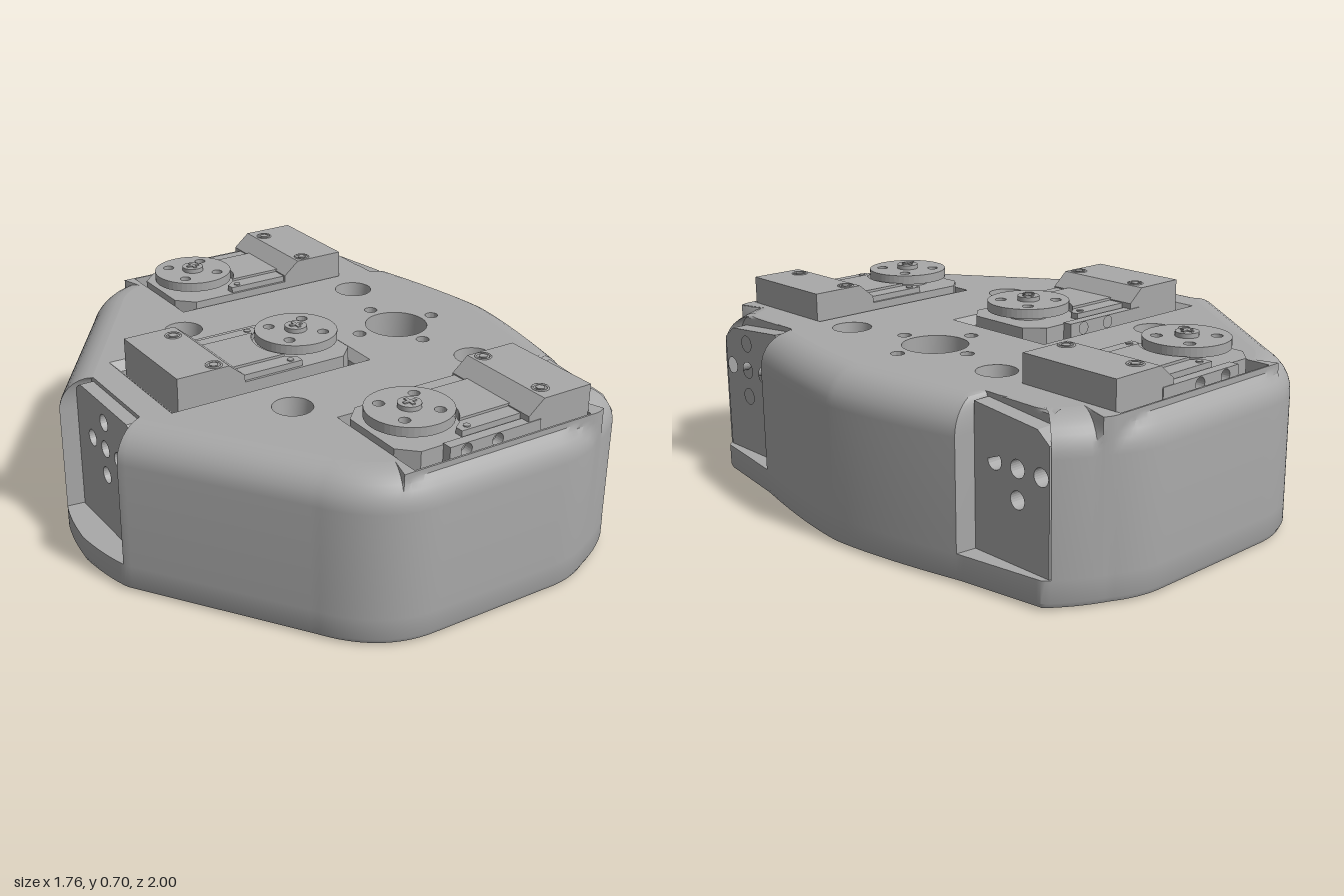
import * as THREE from 'three';
import { toCreasedNormals } from 'three/addons/utils/BufferGeometryUtils.js';

const V2 = (x, y) => new THREE.Vector2(x, y);

// Plan coordinates are (x, v) with v = -z; loops are [x, y, z] rings, counter-clockwise from above
function loft(loops, crease = 0.6) {
  const pos = [], index = [], n = loops[0].length;
  loops.forEach(l => l.forEach(p => pos.push(...p)));
  for (let k = 0; k < loops.length - 1; k++) {
    for (let i = 0; i < n; i++) {
      const j = (i + 1) % n, a = k * n + i, b = k * n + j;
      index.push(a, b, b + n, a, b + n, a + n);
    }
  }
  const g = new THREE.BufferGeometry();
  g.setAttribute('position', new THREE.Float32BufferAttribute(pos, 3));
  g.setIndex(index);
  return toCreasedNormals(g, crease);
}

const level = (pts, y) => pts.map(p => [p.x, y, -p.y]);

// Clockwise rings, for holes
function circle(x, z, r, n = 32) {
  return Array.from({ length: n }, (_, i) => {
    const a = -i / n * Math.PI * 2;
    return V2(x + r * Math.cos(a), -z + r * Math.sin(a));
  });
}
function rect([x0, x1, z0, z1], e = 0) {
  return [V2(x0 - e, -z0 + e), V2(x1 + e, -z0 + e), V2(x1 + e, -z1 - e), V2(x0 - e, -z1 - e)];
}

function withHoles(pts, holes) {
  const s = new THREE.Shape(pts);
  holes.forEach(h => s.holes.push(new THREE.Path(h)));
  return s;
}

function cap(pts, holes, y, down = false) {
  const g = new THREE.ShapeGeometry(withHoles(pts, holes)).rotateX(-Math.PI / 2).translate(0, y, 0);
  if (down) {
    g.index.array.reverse();
    g.computeVertexNormals();
  }
  return g;
}

const slab = (shape, y0, y1) => new THREE.ExtrudeGeometry(shape, { depth: y1 - y0, bevelEnabled: false, curveSegments: 24 })
  .rotateX(-Math.PI / 2).translate(0, y0, 0);

// Plan outline of the housing, mirrored across z
function makeOutline() {
  const p = new THREE.Path();
  p.moveTo(0.88, 0);
  p.quadraticCurveTo(0.87, 0.2, 0.79, 0.524);
  p.lineTo(0.74, 0.84);
  p.quadraticCurveTo(0.66, 0.91, 0.56, 0.95);
  p.quadraticCurveTo(0.47, 1, 0.376, 1);
  p.lineTo(-0.12, 1);
  p.quadraticCurveTo(-0.33, 1, -0.45, 0.8);
  p.lineTo(-0.84, 0.235);
  p.quadraticCurveTo(-0.875, 0.14, -0.885, 0);
  const half = p.getSpacedPoints(200);
  return [...half, ...half.slice(1, -1).reverse().map(q => V2(q.x, -q.y))];
}

export function createModel() {
  const model = new THREE.Group();
  const grey = new THREE.MeshStandardMaterial({ color: 0xa8a8a8 });
  grey.name = 'grey';
  const add = (parent, name, geometry) => {
    const m = new THREE.Mesh(geometry, grey);
    m.name = name;
    parent.add(m);
    return m;
  };

  const housing = new THREE.Group();
  housing.name = 'housing';
  model.add(housing);

  // Outer wall: inset rings, with mounting recesses and pocket rims made by clamping
  const outline = makeOutline(), N = outline.length;
  const ring = (inset, recessed) => outline.map((p, i) => {
    const t = outline[(i + 1) % N].clone().sub(outline[(i + N - 1) % N]).normalize();
    const q = V2(p.x - t.y * inset, p.y + t.x * inset), v = Math.abs(p.y);
    if (recessed) {
      if (p.x > 0.6 && v > 0.53 && v < 0.85) q.x = Math.min(q.x, 0.66);
      if (p.x < -0.7 && v < 0.215) q.x = Math.max(q.x, -0.73);
      if (v > 0.9 && p.x > -0.24 && p.x < 0.6 && Math.abs(q.y) < 0.952) {
        q.set(p.x, Math.sign(p.y) * Math.min(v, 0.952));
      }
    }
    return q;
  });
  const loops = [level(ring(0.025), 0), level(ring(0.008), 0.008), level(ring(0), 0.025), level(ring(0), 0.1)];
  loops.push(level(ring(0, true), 0.1));
  for (let k = 0; k <= 8; k++) {
    const a = k / 8 * Math.PI / 2;
    loops.push(level(ring(0.12 * (1 - Math.cos(a)), true), 0.48 + 0.12 * Math.sin(a)));
  }
  add(housing, 'outerWall', loft(loops));

  // Openings through the housing
  const top = [], bottom = [];
  const pockets = [[-0.19, 0.525, -0.945, -0.53, 0], [-0.6, 0.13, -0.23, 0.18, 0.03], [-0.19, 0.525, 0.525, 0.945, 0]];
  for (const p of pockets) {
    const inner = rect(p), outer = rect(p, p[4]);
    add(housing, 'pocketWall', loft([level(inner, 0), level(inner, 0.57), level(outer, 0.6)], 0.1));
    top.push(outer);
    bottom.push(inner);
  }
  for (const x of [-0.27, 0.49]) for (const z of [-0.38, 0.38]) {
    const hole = [[0.03, 0], [0.03, 0.5], [0.06, 0.5], [0.07, 0.6]];
    add(housing, 'screwHole', loft(hole.map(([r, y]) => level(circle(x, z, r), y))));
    top.push(circle(x, z, 0.07));
    bottom.push(circle(x, z, 0.03));
  }
  const cx = 0.425, bore = circle(cx, 0, 0.195, 48);
  add(housing, 'centreBore', loft([level(bore, 0), level(bore, 0.5)]));
  bottom.push(bore);
  const small = [circle(cx, 0, 0.115, 48)];
  for (const [dx, dz] of [[1, 0], [-1, 0], [0, 1], [0, -1]]) small.push(circle(cx + dx * 0.165, dz * 0.165, 0.024));
  small.forEach(c => {
    add(housing, 'cableHole', loft([level(c, 0.5), level(c, 0.6)]));
    top.push(c);
  });
  add(housing, 'boreCeiling', cap(bore, small, 0.5, true));
  add(housing, 'topFace', cap(ring(0.12, true), top, 0.6));
  add(housing, 'bottomFace', cap(ring(0.025), bottom, 0, true));

  // Mounting pads with five screw holes, drawn in (sideways, up)
  function pad(points, centre, side, x) {
    const holes = [[0, 0], [0.1, 0], [-0.1, 0], [0, 0.1], [0, -0.1]]
      .map(([u, y]) => circle(centre + u, -0.415 - y, 0.03, 24));
    const g = new THREE.ExtrudeGeometry(withHoles(points, holes), { depth: 0.065, bevelEnabled: false });
    add(housing, 'mountingPad', g.translate(0, 0, x - 0.065).rotateY(side * Math.PI / 2));
  }
  for (const s of [-1, 1]) {
    pad([V2(0.525, 0.1), V2(0.85, 0.1), V2(0.85, 0.52), V2(0.8, 0.56), V2(0.525, 0.585)].map(p => V2(p.x * s, p.y)),
      0.715 * s, 1, 0.72);
  }
  pad([V2(-0.215, 0.1), V2(0.215, 0.1), V2(0.215, 0.56), V2(0.18, 0.585), V2(-0.18, 0.585), V2(-0.215, 0.56)], 0, -1, 0.78);

  // Servo with its horn axis at (x, z); sx points to the tall end, sz to the side plate
  function servo(x, z, sx, sz) {
    const g = new THREE.Group();
    g.name = 'servo';
    g.position.set(x, 0, z);
    model.add(g);
    const box = (name, x0, x1, y0, y1, z0, z1) => add(g, name, new THREE.BoxGeometry(x1 - x0, y1 - y0, z1 - z0))
      .position.set(sx * (x0 + x1) / 2, (y0 + y1) / 2, sz * (z0 + z1) / 2);
    const disc = (name, px, pz, r, y0, y1) => add(g, name, new THREE.CylinderGeometry(r, r, y1 - y0, 28))
      .position.set(sx * px, (y0 + y1) / 2, sz * pz);
    const side = (name, points, z0, z1, holes = []) => add(g, name,
      new THREE.ExtrudeGeometry(withHoles(points.map(([a, b]) => V2(sx * a, b)), holes), { depth: z1 - z0, bevelEnabled: false }))
      .position.z = sz > 0 ? z0 : -z1;

    // Case with clipped corners at the horn end
    const plan = [[-0.145, -0.12], [-0.085, -0.18], [0.57, -0.18], [0.57, 0.18], [-0.085, 0.18], [-0.145, 0.12]];
    add(g, 'case', slab(new THREE.Shape(plan.map(([a, b]) => V2(sx * a, b))), 0.24, 0.625));
    // Raised deck, cut round the horn
    const deck = w => {
      const a = Math.asin(Math.min(w / 0.16, 0.87)), pts = [V2(sx * 0.36, -w), V2(sx * 0.36, w)];
      if (w > 0.14) pts.push(V2(sx * 0.08, w));
      for (let i = 0; i <= 12; i++) {
        const t = a - 2 * a * i / 12;
        pts.push(V2(sx * 0.16 * Math.cos(t), 0.16 * Math.sin(t)));
      }
      if (w > 0.14) pts.push(V2(sx * 0.08, -w));
      return new THREE.Shape(pts);
    };
    add(g, 'deck', slab(deck(0.17), 0.62, 0.646));
    add(g, 'deckPanel', slab(deck(0.11), 0.64, 0.655));
    side('tallEnd', [[0.315, 0.5], [0.572, 0.5], [0.572, 0.7], [0.375, 0.7], [0.315, 0.65]], -0.18, 0.212);
    side('sidePlate', [[0, 0.24], [0.365, 0.24], [0.365, 0.63], [0, 0.63]], 0.178, 0.215,
      [0.065, 0.19].map(a => circle(sx * a, -0.605, 0.022, 20)));

    // Horns above and below, each with four holes
    const holes = [];
    for (const a of [-1, 1]) for (const b of [-1, 1]) holes.push(circle(a * 0.07, b * 0.07, 0.02, 20));
    const horn = withHoles(circle(0, 0, 0.148, 48).reverse(), holes);
    add(g, 'horn', slab(horn, 0.648, 0.682));
    add(g, 'lowerHorn', slab(horn, 0.2, 0.23));
    disc('hornBoss', 0, 0, 0.08, 0.62, 0.65);
    disc('lowerBoss', 0, 0, 0.08, 0.19, 0.245);
    disc('hornScrew', 0, 0, 0.04, 0.68, 0.698);
    box('screwCross', -0.024, 0.024, 0.695, 0.702, -0.006, 0.006);
    box('screwCross', -0.006, 0.006, 0.695, 0.702, -0.024, 0.024);
    // Case screws and connector pins
    for (const s of [-1, 1]) {
      const r = add(g, 'caseScrewRing', new THREE.TorusGeometry(0.026, 0.004, 6, 24).rotateX(Math.PI / 2));
      r.position.set(sx * 0.415, 0.7, s * 0.145);
      disc('caseScrew', 0.415, s * 0.145, 0.015, 0.69, 0.703);
      disc('deckScrew', 0.115, s * 0.148, 0.012, 0.64, 0.65);
    }
    for (let i = -1; i <= 1; i++) disc('connectorPin', 0.32, i * 0.04, 0.008, 0.16, 0.245);
  }
  servo(-0.045, -0.717, 1, -1);
  servo(-0.045, 0.717, 1, 1);
  servo(-0.018, 0, -1, -1);

  return model;
}
